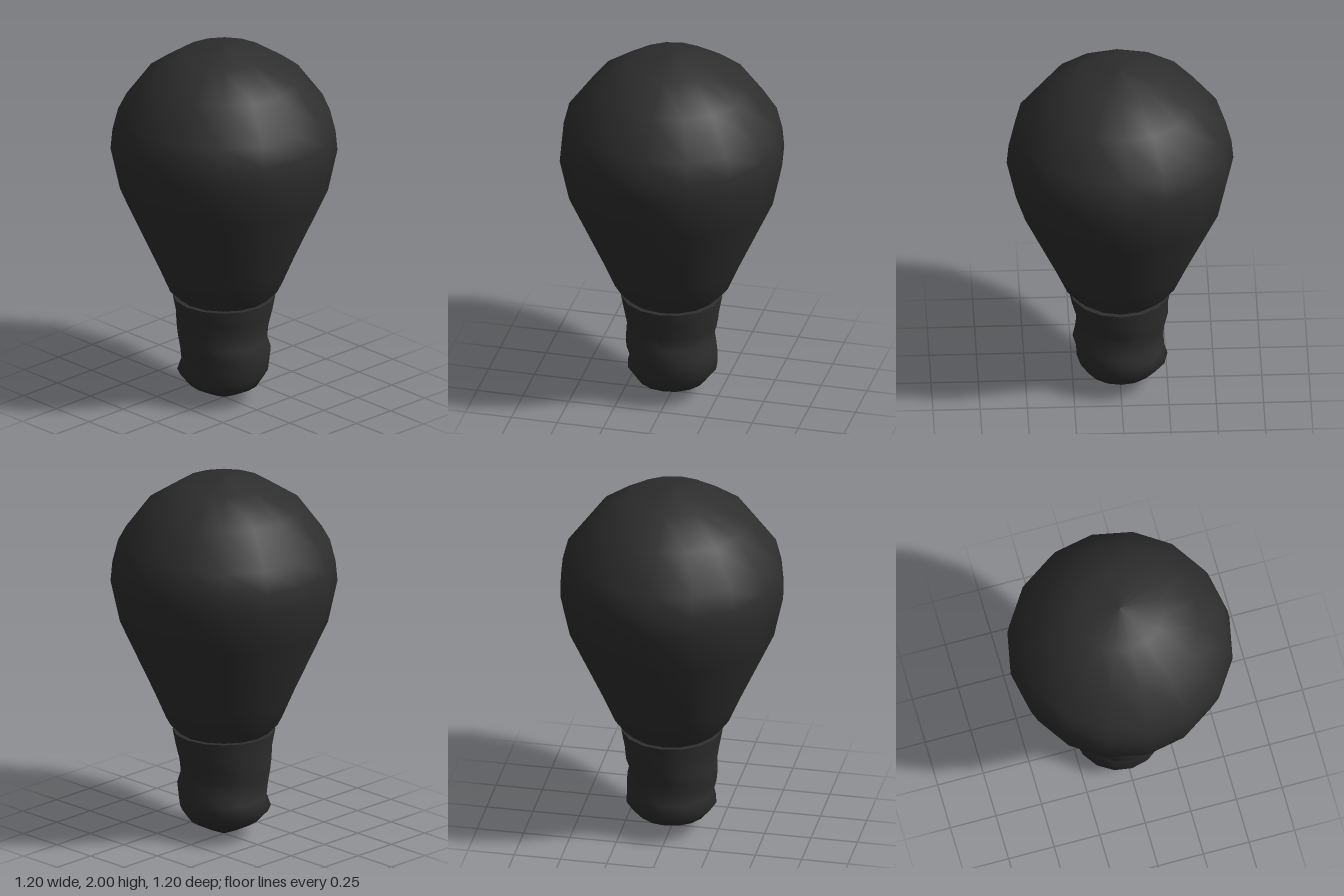
import * as THREE from 'three';
import { mergeVertices } from 'three/addons/utils/BufferGeometryUtils.js';

const SIDES = 16;

function lathe(profile) {
  return new THREE.LatheGeometry(profile.map(([r, y]) => new THREE.Vector2(r, y)), SIDES);
}

// Turns a worked lathe into one smooth surface without a seam
function smooth(geometry) {
  geometry.deleteAttribute('uv');
  geometry.deleteAttribute('normal');
  const merged = mergeVertices(geometry, 1e-4);
  merged.computeVertexNormals();
  return merged;
}

export function createModel() {
  const group = new THREE.Group();
  const charcoal = new THREE.MeshStandardMaterial({ color: 0x2e2e2e });
  charcoal.name = 'charcoal';

  const add = (name, geometry) => {
    const mesh = new THREE.Mesh(geometry, charcoal);
    mesh.name = name;
    group.add(mesh);
  };

  // Pear-shaped glass, tapering into the neck
  add('glassBulb', lathe([
    [0.235, 0.58], [0.305, 0.65], [0.37, 0.8], [0.55, 1.19], [0.6, 1.42],
    [0.59, 1.53], [0.56, 1.65], [0.42, 1.84], [0.23, 1.965], [0, 2],
  ]));

  // Screw base: a tapered sleeve with a shallow spiral thread and pointed tip
  const base = lathe([
    [0, 0], [0.09, 0.04], [0.185, 0.09], [0.24, 0.16], [0.233, 0.225],
    [0.24, 0.29], [0.236, 0.355], [0.243, 0.42], [0.255, 0.5], [0.272, 0.59],
  ]);
  const pos = base.attributes.position;
  for (let i = 0; i < pos.count; i++) {
    const x = pos.getX(i), y = pos.getY(i), z = pos.getZ(i);
    if (y < 0.12 || y > 0.45) continue;
    const turn = (2 * Math.PI * (y - 0.29)) / 0.26;
    const k = 1 + 0.045 * Math.cos(turn - Math.atan2(z, x));
    pos.setXYZ(i, x * k, y, z * k);
  }
  add('screwBase', smooth(base));

  // Flat rim closing the base against the neck
  add('baseRim', lathe([[0.272, 0.59], [0.2, 0.59]]));

  // Underside of the neck
  add('neckUnderside', lathe([[0, 0.58], [0.235, 0.58]]));

  return group;
}
